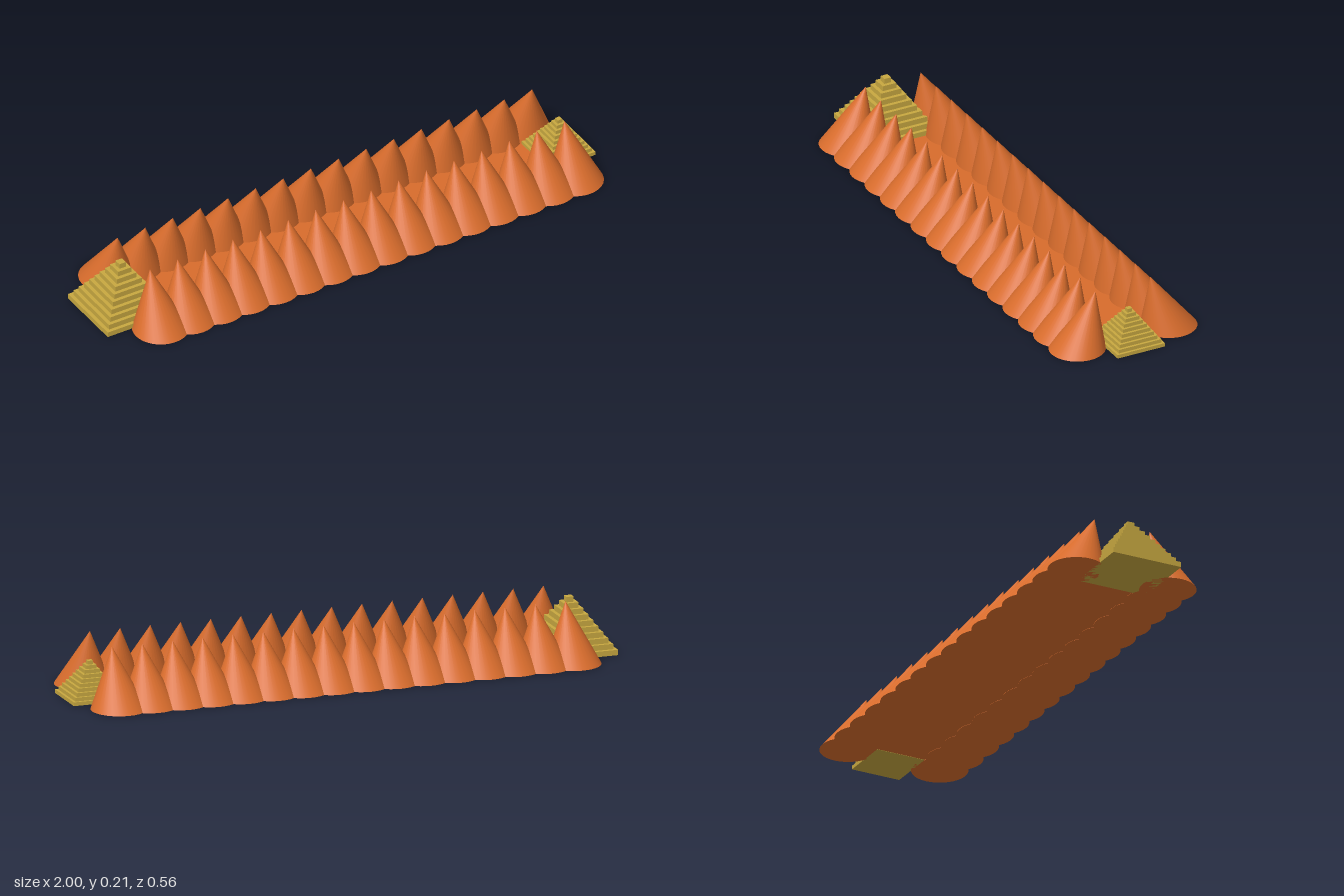
import * as THREE from 'three';

const ORANGE = new THREE.MeshStandardMaterial({ color: 0xd86c2c });
const GOLD = new THREE.MeshStandardMaterial({ color: 0xc8a840 });
const PLATE = new THREE.MeshStandardMaterial({ color: 0xd86c2c, side: THREE.DoubleSide });

const COUNT = 16, FIRST_X = -0.814, LAST_X = 0.865;
const ROW_Z = 0.18, RADIUS = 0.1, HEIGHT = 0.206, LEAN = -0.072;

// Cone on y = 0 whose tip leans towards the middle
function leaningCone() {
  const geo = new THREE.ConeGeometry(RADIUS, HEIGHT, 32);
  geo.translate(0, HEIGHT / 2, 0);
  const shear = new THREE.Matrix4();
  shear.elements[6] = LEAN / HEIGHT; // z += y * slope
  return geo.applyMatrix4(shear);
}

// Pyramid of ten square layers
function steppedPyramid(name, x, size, height, steps = 10) {
  const group = new THREE.Group();
  group.name = name;
  const h = height / steps;
  for (let i = 0; i < steps; i++) {
    const w = size * (steps - i) / steps;
    const layer = new THREE.Mesh(new THREE.BoxGeometry(w, h, w), GOLD);
    layer.name = 'pyramidStep';
    layer.position.y = h * (i + 0.5);
    group.add(layer);
  }
  group.position.x = x;
  return group;
}

export function createModel() {
  const model = new THREE.Group();
  model.name = 'coneAvenue';

  // Two facing rows of cones
  const cone = leaningCone();
  for (const side of [1, -1]) {
    const row = new THREE.Group();
    row.name = side > 0 ? 'frontConeRow' : 'backConeRow';
    for (let i = 0; i < COUNT; i++) {
      const mesh = new THREE.Mesh(cone, ORANGE);
      mesh.name = 'cone';
      mesh.position.set(FIRST_X + (LAST_X - FIRST_X) * i / (COUNT - 1), 0, side * ROW_Z);
      if (side < 0) mesh.rotation.y = Math.PI;
      row.add(mesh);
    }
    model.add(row);
  }

  // Flat floor joining the rows
  const floor = new THREE.Mesh(new THREE.PlaneGeometry(LAST_X - FIRST_X, ROW_Z * 2), PLATE);
  floor.name = 'floor';
  floor.rotation.x = -Math.PI / 2;
  floor.position.set((FIRST_X + LAST_X) / 2, 0.001, 0);
  model.add(floor);

  // Stepped pyramids at both ends
  model.add(steppedPyramid('largePyramid', -0.867, 0.266, 0.192));
  model.add(steppedPyramid('smallPyramid', 0.907, 0.186, 0.133));
  return model;
}
